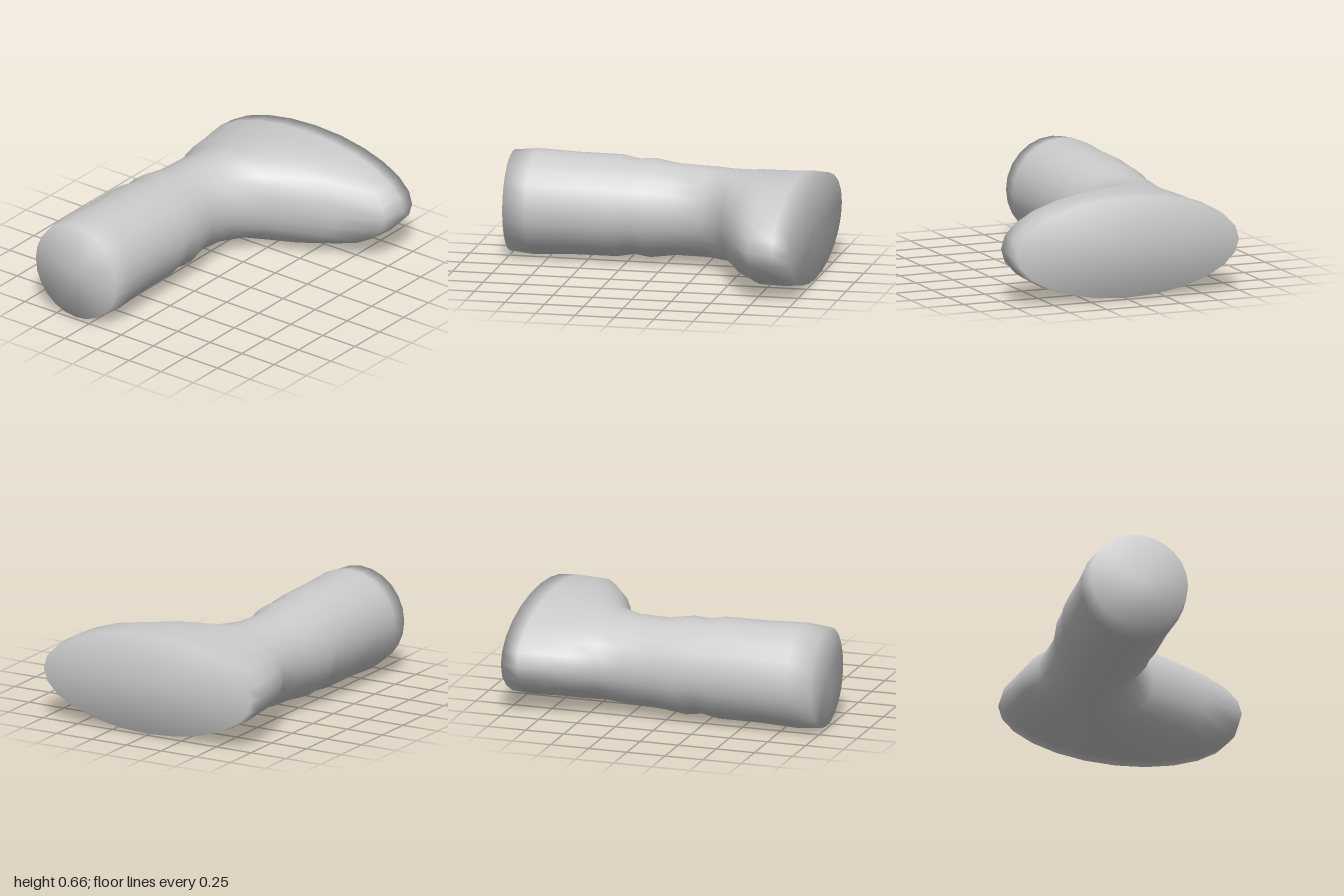
import * as THREE from 'three';

const SIDES = 24;

// Elliptical cross-sections from the broad back face to the grip end:
// [z, xMin, xMax, yMin, yMax]
const SECTIONS = [
  [-1.00, -0.75, 0.745, 0.013, 0.647],
  [-0.89, -0.763, 0.76, 0.005, 0.653],
  [-0.73, -0.737, 0.74, 0.008, 0.648],
  [-0.57, -0.71, 0.48, 0.022, 0.635],
  [-0.42, -0.64, 0.10, 0.045, 0.61],
  [-0.26, -0.625, -0.05, 0.043, 0.607],
  [-0.05, -0.635, -0.083, 0.04, 0.61],
  [0.11, -0.668, -0.043, 0.02, 0.635],
  [0.21, -0.66, -0.053, 0.035, 0.627],
  [0.32, -0.68, -0.035, 0.015, 0.648],
  [0.60, -0.677, -0.034, 0.014, 0.65],
  [0.85, -0.688, -0.02, 0.003, 0.66],
  [1.00, -0.665, -0.04, 0.018, 0.646],
];

// Skin the sections into one closed surface whose caps share the rim normals
function loft(sections) {
  const positions = [], index = [];
  for (const [z, x0, x1, y0, y1] of sections) {
    for (let j = 0; j < SIDES; j++) {
      const a = (j / SIDES) * Math.PI * 2;
      positions.push(
        (x0 + x1) / 2 + ((x1 - x0) / 2) * Math.cos(a),
        (y0 + y1) / 2 + ((y1 - y0) / 2) * Math.sin(a),
        z
      );
    }
  }
  const last = (sections.length - 1) * SIDES;
  const backCentre = last + SIDES, frontCentre = backCentre + 1;
  for (const [z, x0, x1, y0, y1] of [sections[0], sections[sections.length - 1]]) {
    positions.push((x0 + x1) / 2, (y0 + y1) / 2, z);
  }
  for (let j = 0; j < SIDES; j++) {
    const k = (j + 1) % SIDES;
    for (let r = 0; r < last; r += SIDES) {
      index.push(r + j, r + k, r + SIDES + k, r + j, r + SIDES + k, r + SIDES + j);
    }
    index.push(backCentre, k, j, frontCentre, last + j, last + k);
  }
  const geometry = new THREE.BufferGeometry();
  geometry.setAttribute('position', new THREE.Float32BufferAttribute(positions, 3));
  geometry.setIndex(index);
  geometry.computeVertexNormals();
  return geometry;
}

export function createModel() {
  const group = new THREE.Group();
  group.name = 'flaredHandle';

  // Round grip that narrows at the neck, then flares into the offset head
  const body = new THREE.Mesh(
    loft(SECTIONS),
    new THREE.MeshStandardMaterial({ color: 0xcccccc })
  );
  body.name = 'gripAndHead';
  group.add(body);
  return group;
}
